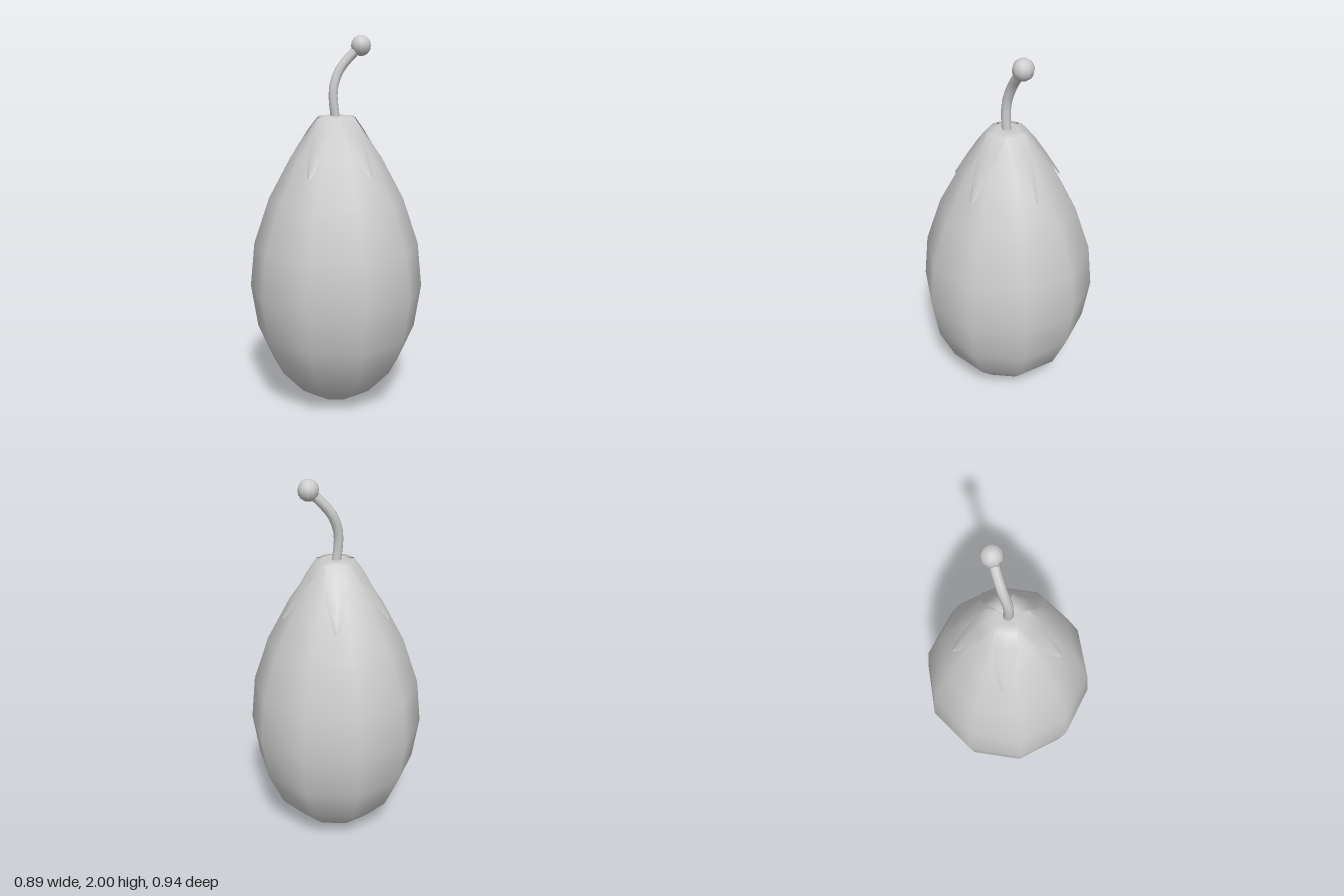
import * as THREE from 'three';

const material = new THREE.MeshStandardMaterial({ color: 0xcccccc });
const leafMaterial = new THREE.MeshStandardMaterial({ color: 0xcccccc, side: THREE.DoubleSide });

function addMesh(parent, name, geometry, mat = material) {
  const mesh = new THREE.Mesh(geometry, mat);
  mesh.name = name;
  parent.add(mesh);
  return mesh;
}

// Pointed leaf running along +x, with its side edges bent down onto the fruit
function sepalGeometry() {
  // distance from centre, height, half width, edge drop
  const stations = [
    [0, 1.585, 0.008, 0], [0.05, 1.592, 0.035, 0.002], [0.095, 1.588, 0.055, 0.008],
    [0.15, 1.52, 0.06, 0.014], [0.215, 1.42, 0.046, 0.014],
    [0.265, 1.337, 0.025, 0.012], [0.288, 1.298, 0.01, 0.008],
  ];
  const positions = [], index = [];
  stations.forEach(([r, y, w, drop], i) => {
    for (let j = -1; j <= 1; j++) {
      const d = Math.abs(j) * drop;
      positions.push(r - d * 0.8, y - d * 0.6, j * w);
    }
    if (i === stations.length - 1) return;
    for (let j = 0; j < 2; j++) {
      const a = i * 3 + j, b = a + 1, c = a + 3, e = a + 4;
      index.push(a, b, c, b, e, c);
    }
  });
  const geometry = new THREE.BufferGeometry();
  geometry.setAttribute('position', new THREE.Float32BufferAttribute(positions, 3));
  geometry.setIndex(index);
  geometry.computeVertexNormals();
  return geometry;
}

export function createModel() {
  const model = new THREE.Group();
  model.name = 'eggplant';

  // Ten-sided, smoothly shaded fruit
  const profile = [
    [0, 0.005], [0.147, 0.043], [0.222, 0.09], [0.35, 0.23], [0.435, 0.425], [0.47, 0.66],
    [0.445, 0.9], [0.36, 1.15], [0.242, 1.37], [0.1, 1.575], [0, 1.585],
  ].map(([r, y]) => new THREE.Vector2(r, y));
  addMesh(model, 'fruit', new THREE.LatheGeometry(profile, 10));

  // Five sepals around the crown, slightly uneven
  const calyx = new THREE.Group();
  calyx.name = 'calyx';
  model.add(calyx);
  const sepal = sepalGeometry();
  [0, 69, 137, 211, 284].forEach((degrees, i) => {
    addMesh(calyx, `sepal${i + 1}`, sepal, leafMaterial).rotation.y = -THREE.MathUtils.degToRad(degrees);
  });

  // Bent stem with a round end
  const path = new THREE.CatmullRomCurve3([
    [0, 1.56, 0], [-0.012, 1.64, 0], [-0.012, 1.73, -0.006],
    [0.022, 1.82, -0.016], [0.08, 1.89, -0.014], [0.138, 1.947, -0.006],
  ].map((p) => new THREE.Vector3(...p)));
  addMesh(model, 'stem', new THREE.TubeGeometry(path, 10, 0.025, 8));
  addMesh(model, 'stemKnob', new THREE.SphereGeometry(0.054, 10, 8)).position.set(0.138, 1.946, -0.006);

  return model;
}
